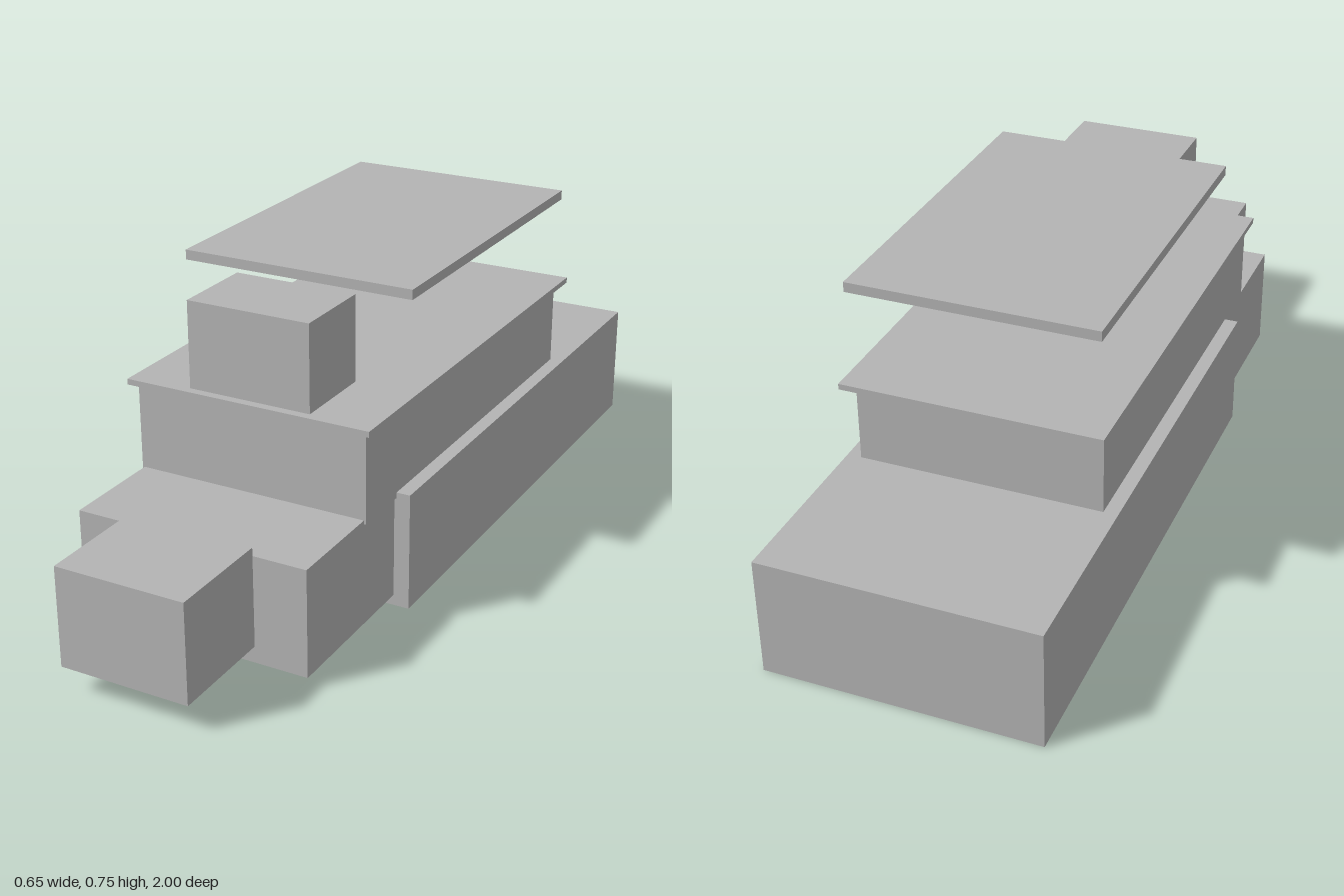
import * as THREE from 'three';

export function createModel() {
  const model = new THREE.Group();
  model.name = 'blockBoat';

  const grey = new THREE.MeshStandardMaterial({ color: 0xb4b4b4 });
  grey.name = 'plain grey';

  // Box centred on x = 0, given by its half width and its y and z ranges
  function block(name, halfWidth, [y0, y1], [z0, z1]) {
    const mesh = new THREE.Mesh(new THREE.BoxGeometry(halfWidth * 2, y1 - y0, z1 - z0), grey);
    mesh.name = name;
    mesh.position.set(0, (y0 + y1) / 2, (z0 + z1) / 2);
    model.add(mesh);
  }

  // Hull in three steps, from the stern to the bow
  block('sternHull', 0.327, [0, 0.29], [-1, 0.34]);
  block('midHull', 0.288, [0.026, 0.285], [0.2, 0.74]);
  block('bow', 0.158, [0.066, 0.305], [0.74, 1]);

  // Cabin with its overhanging upper deck
  block('cabin', 0.293, [0.276, 0.496], [-0.57, 0.487]);
  block('upperDeck', 0.31, [0.495, 0.509], [-0.618, 0.506]);

  // Wheelhouse and the floating canopy behind it
  block('wheelhouse', 0.154, [0.508, 0.719], [0.275, 0.485]);
  block('canopy', 0.294, [0.728, 0.752], [-0.592, 0.274]);

  return model;
}
